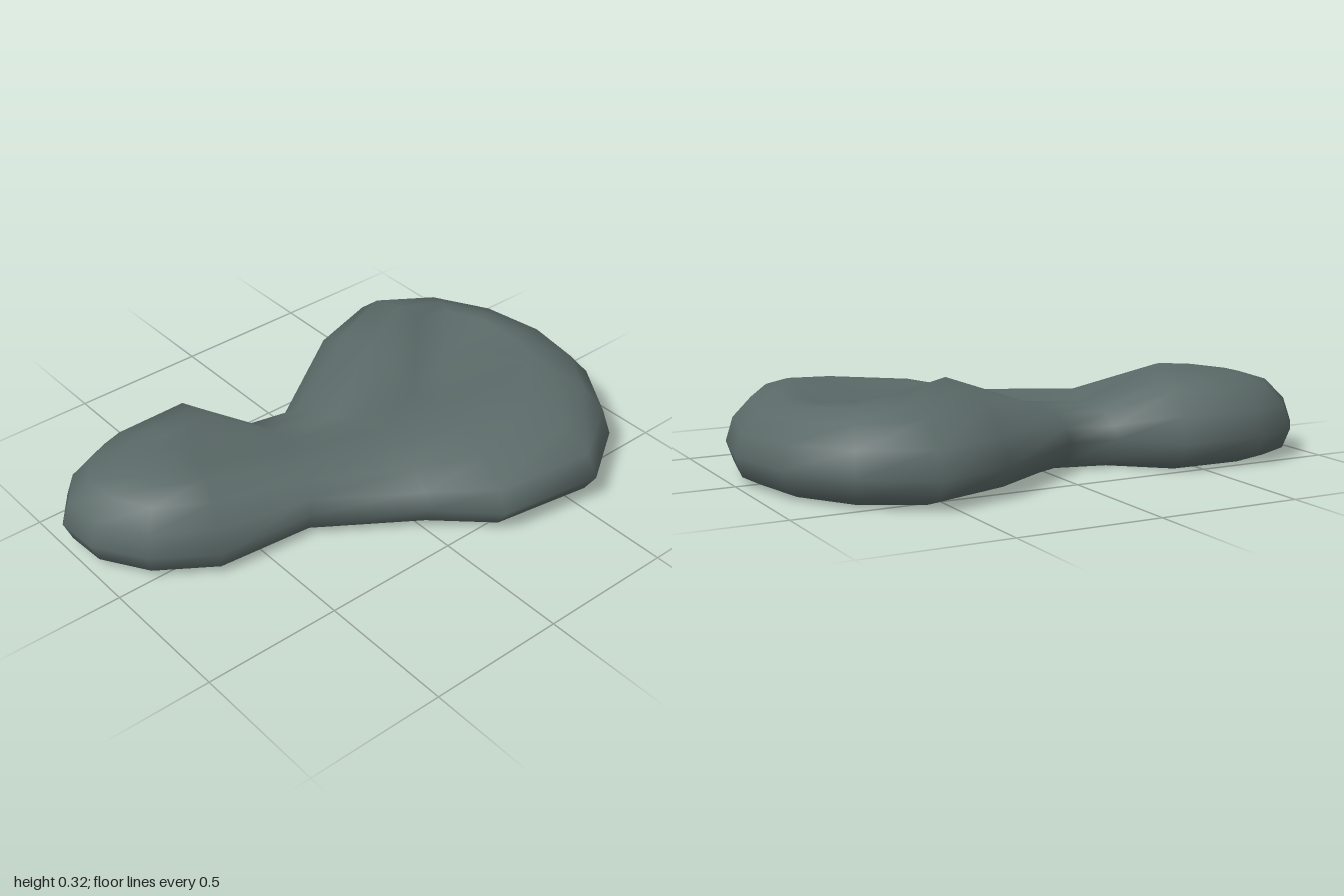
import * as THREE from 'three';
import { mergeVertices } from 'three/addons/utils/BufferGeometryUtils.js';

// Spine the surface closes onto: [x, z, height]
const A = [-0.58, -0.2, 0.315]; // small lobe
const N = [-0.22, -0.1, 0.2];   // neck
const M = [0.05, -0.04, 0.2];   // start of the hollow
const C = [0.3, -0.03, 0.21];   // groove
const D = [0.5, -0.09, 0.2];    // deepest part of the hollow

// Around the stone: outline [x, z], crest [x, z, height], spine point
const ribs = [
  [[1, 0], [0.76, -0.02, 0.28], D],
  [[0.94, 0.27], [0.73, 0.1, 0.3], D],
  [[0.79, 0.5], [0.67, 0.19, 0.31], D],
  [[0.56, 0.65], [0.52, 0.2, 0.295], D],
  [[0.18, 0.59], [0.28, 0.15, 0.27], C],
  [[0, 0.41], [0.08, 0.08, 0.23], M],
  [[-0.33, 0.17], [-0.28, -0.02, 0.225], N],
  [[-0.68, 0.14], [-0.6, -0.08, 0.305], A],
  [[-0.88, 0], [-0.7, -0.12, 0.3], A],
  [[-0.99, -0.17], [-0.72, -0.2, 0.3], A],
  [[-1, -0.33], [-0.72, -0.25, 0.3], A],
  [[-0.9, -0.46], [-0.7, -0.28, 0.3], A],
  [[-0.72, -0.54], [-0.6, -0.28, 0.31], A],
  [[-0.41, -0.53], [-0.43, -0.28, 0.32], A],
  [[-0.25, -0.35], [-0.22, -0.17, 0.21], N],
  [[-0.08, -0.32], [-0.02, -0.1, 0.215], M],
  [[0.29, -0.57], [0.29, -0.11, 0.325], C],
  [[0.56, -0.65], [0.55, -0.28, 0.315], D],
  [[0.79, -0.5], [0.68, -0.25, 0.3], D],
  [[0.94, -0.27], [0.75, -0.15, 0.285], D],
];

const WAIST = 0.1; // height of the widest ring

// Cross-section of one rib, from the underside up over the crest to the spine
function section([edge, crest, spine]) {
  const at = (s, y) => [
    THREE.MathUtils.lerp(edge[0], crest[0], s), y,
    THREE.MathUtils.lerp(edge[1], crest[1], s),
  ];
  const rise = (f) => WAIST + (crest[2] - WAIST) * f;
  return [
    [spine[0], 0, spine[1]],
    at(1, 0), at(0.35, 0), at(0.1, 0.03),
    at(0, WAIST),
    at(0.1, rise(0.42)), at(0.35, rise(0.78)), at(0.7, rise(0.94)), at(1, rise(1)),
    [spine[0], spine[2], spine[1]],
  ];
}

// Skin the sections together into one closed surface
function loft(sections) {
  const rows = sections[0].length;
  const index = [];
  sections.forEach((_, i) => {
    const j = (i + 1) % sections.length;
    for (let r = 0; r < rows - 1; r++) {
      const a = i * rows + r, b = j * rows + r;
      if (r > 0 || sections[i][0][0] !== sections[j][0][0]) index.push(a, a + 1, b);
      if (r < rows - 2 || sections[i][r + 1][0] !== sections[j][r + 1][0]) index.push(b, a + 1, b + 1);
    }
  });
  const geometry = new THREE.BufferGeometry();
  geometry.setAttribute('position', new THREE.Float32BufferAttribute(sections.flat(2), 3));
  geometry.setIndex(index);
  const merged = mergeVertices(geometry, 1e-4);
  merged.computeVertexNormals();
  return merged;
}

export function createModel() {
  const group = new THREE.Group();
  group.name = 'stone';
  const body = new THREE.Mesh(
    loft(ribs.map(section)),
    new THREE.MeshStandardMaterial({ color: 0x5a6967 }),
  );
  body.name = 'stoneBody';
  group.add(body);
  return group;
}
